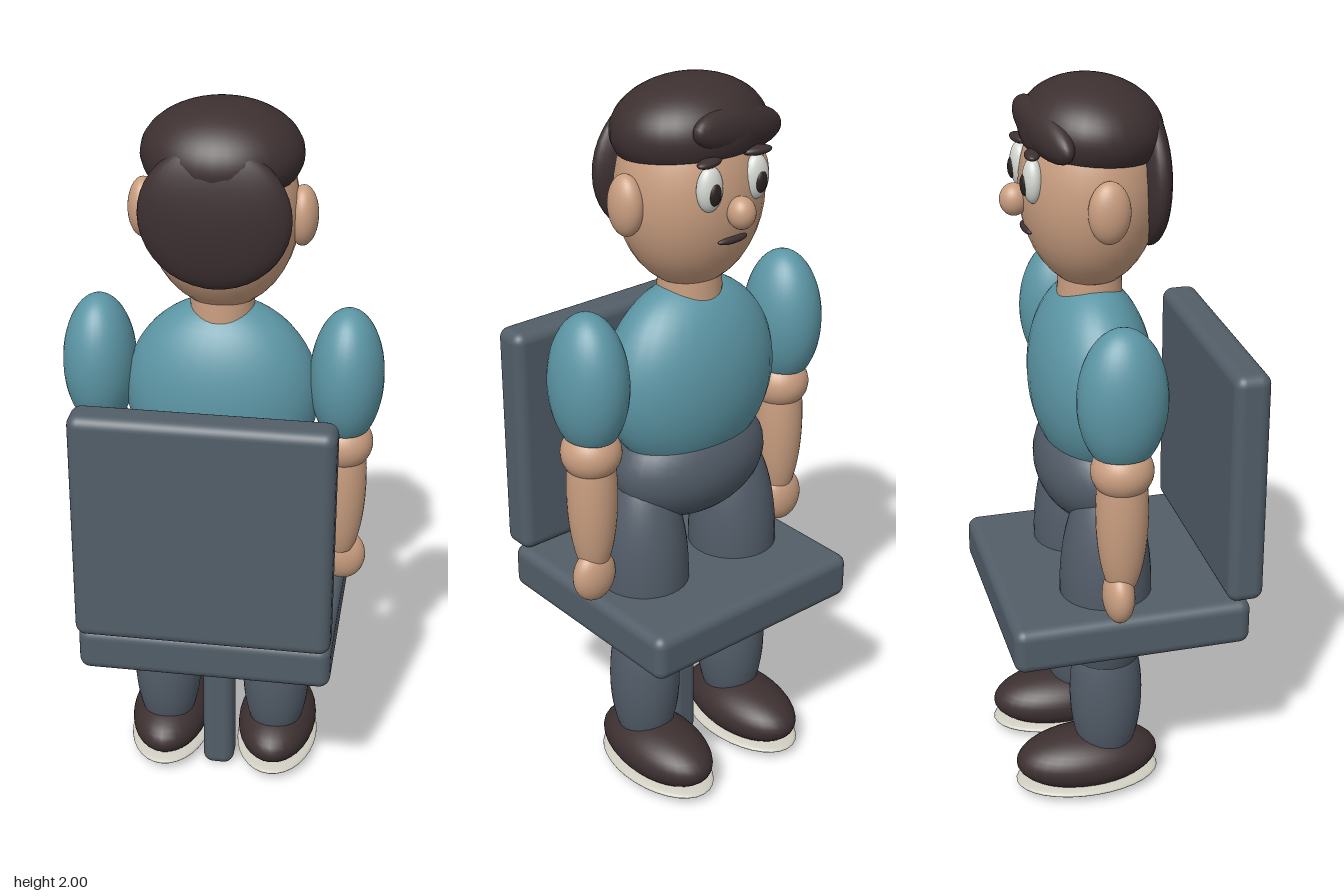
import * as THREE from 'three';
import { mergeGeometries } from 'three/addons/utils/BufferGeometryUtils.js';
import { RoundedBoxGeometry } from 'three/addons/geometries/RoundedBoxGeometry.js';

const paint = (name, color) => {
  const m = new THREE.MeshStandardMaterial({ color });
  m.name = name;
  return m;
};

export function createModel() {
  const skin = paint('skin', 0xc99e80);
  const shirt = paint('shirt teal', 0x5c96a5);
  const trousers = paint('trouser grey', 0x525c68);
  const chairGrey = paint('chair grey', 0x525e68);
  const brown = paint('dark brown', 0x3d3031);
  const soleGrey = paint('sole grey', 0xcfccc0);
  const eyeWhite = paint('eye white', 0xd6d9d4);
  const pupilDark = paint('pupil dark', 0x2a2122);

  const model = new THREE.Group();
  model.name = 'seatedFigure';
  const group = (name) => {
    const g = new THREE.Group();
    g.name = name;
    model.add(g);
    return g;
  };
  const add = (parent, name, geometry, material, pos) => {
    const mesh = new THREE.Mesh(geometry, material);
    mesh.name = name;
    mesh.position.set(...pos);
    parent.add(mesh);
    return mesh;
  };
  // Ellipsoid, optionally cut flat at a height below its centre
  const blob = (parent, name, material, pos, radii, cutY) => {
    let geo;
    if (cutY === undefined) {
      geo = new THREE.SphereGeometry(1, 32, 20);
    } else {
      const theta = Math.acos((cutY - pos[1]) / radii[1]);
      const cap = new THREE.CircleGeometry(Math.sin(theta), 32).rotateX(Math.PI / 2);
      cap.translate(0, Math.cos(theta), 0);
      geo = mergeGeometries([
        new THREE.SphereGeometry(1, 32, 20, 0, Math.PI * 2, 0, theta), cap,
      ]);
    }
    geo.scale(...radii);
    return add(parent, name, geo, material, pos);
  };
  const Z = -0.053; // body centre line

  // Chair
  const chair = group('chair');
  add(chair, 'seat', new RoundedBoxGeometry(0.685, 0.13, 0.65, 4, 0.03), chairGrey, [0, 0.565, -0.017]);
  add(chair, 'backrest', new RoundedBoxGeometry(0.685, 0.66, 0.1, 4, 0.03), chairGrey, [0, 0.96, 0.292]);
  add(chair, 'post', new RoundedBoxGeometry(0.09, 0.53, 0.09, 4, 0.03), chairGrey, [0, 0.265, 0]);

  // Trunk
  const trunk = group('trunk');
  blob(trunk, 'torso', shirt, [0, 1.2, Z], [0.26, 0.273, 0.163], 1.02);
  blob(trunk, 'pelvis', trousers, [0, 0.95, Z], [0.237, 0.16, 0.152]);
  add(trunk, 'neck', new THREE.CylinderGeometry(0.082, 0.088, 0.16, 32), skin, [0, 1.45, Z]);

  // Head and hair
  const head = group('head');
  blob(head, 'skull', skin, [0, 1.715, Z], [0.2, 0.26, 0.18]);
  blob(head, 'nose', skin, [0, 1.697, -0.248], [0.036, 0.042, 0.037]);
  blob(head, 'mouth', brown, [0, 1.62, -0.217], [0.047, 0.011, 0.014]);
  blob(head, 'hairCap', brown, [0, 1.87, -0.048], [0.208, 0.13, 0.183], 1.818).rotation.x = 0.09;
  blob(head, 'backHair', brown, [0, 1.745, 0.09], [0.195, 0.19, 0.053]);
  blob(head, 'fringe', brown, [-0.045, 1.885, -0.18], [0.168, 0.06, 0.045])
    .rotation.set(0, 0.18, 0.16);

  const legs = group('legs');
  const arms = group('arms');
  for (const s of [-1, 1]) {
    const side = s > 0 ? 'left' : 'right';

    // Face features
    blob(head, side + 'Ear', skin, [s * 0.206, 1.71, Z], [0.04, 0.08, 0.054]);
    blob(head, side + 'Eye', eyeWhite, [s * 0.075, 1.765, -0.215], [0.037, 0.058, 0.026]);
    blob(head, side + 'Pupil', pupilDark, [s * 0.075, 1.757, -0.235], [0.018, 0.029, 0.012]);
    const brow = blob(head, side + 'Eyebrow', brown, [s * 0.077, 1.832, -0.215], [0.042, 0.012, 0.02]);
    brow.rotation.y = s * 0.2;

    // Legs and shoes
    blob(legs, side + 'Thigh', trousers, [s * 0.16, 0.645, Z], [0.123, 0.33, 0.125], 0.42);
    blob(legs, side + 'Shin', trousers, [s * 0.16, 0.3, Z], [0.097, 0.25, 0.101], 0.12);
    blob(legs, side + 'Shoe', brown, [s * 0.16, 0.09, -0.108], [0.114, 0.082, 0.203]);
    blob(legs, side + 'Sole', soleGrey, [s * 0.16, 0.03, -0.108], [0.118, 0.02, 0.205]);

    // Arms
    blob(arms, side + 'Sleeve', shirt, [s * 0.333, 1.265, Z], [0.099, 0.193, 0.117], 1.12);
    blob(arms, side + 'Elbow', skin, [s * 0.33, 1.07, Z], [0.08, 0.075, 0.082], 1.015);
    blob(arms, side + 'Forearm', skin, [s * 0.33, 0.95, Z], [0.067, 0.255, 0.069], 0.74);
    blob(arms, side + 'Hand', skin, [s * 0.338, 0.708, -0.064], [0.064, 0.076, 0.042]);
  }
  return model;
}
